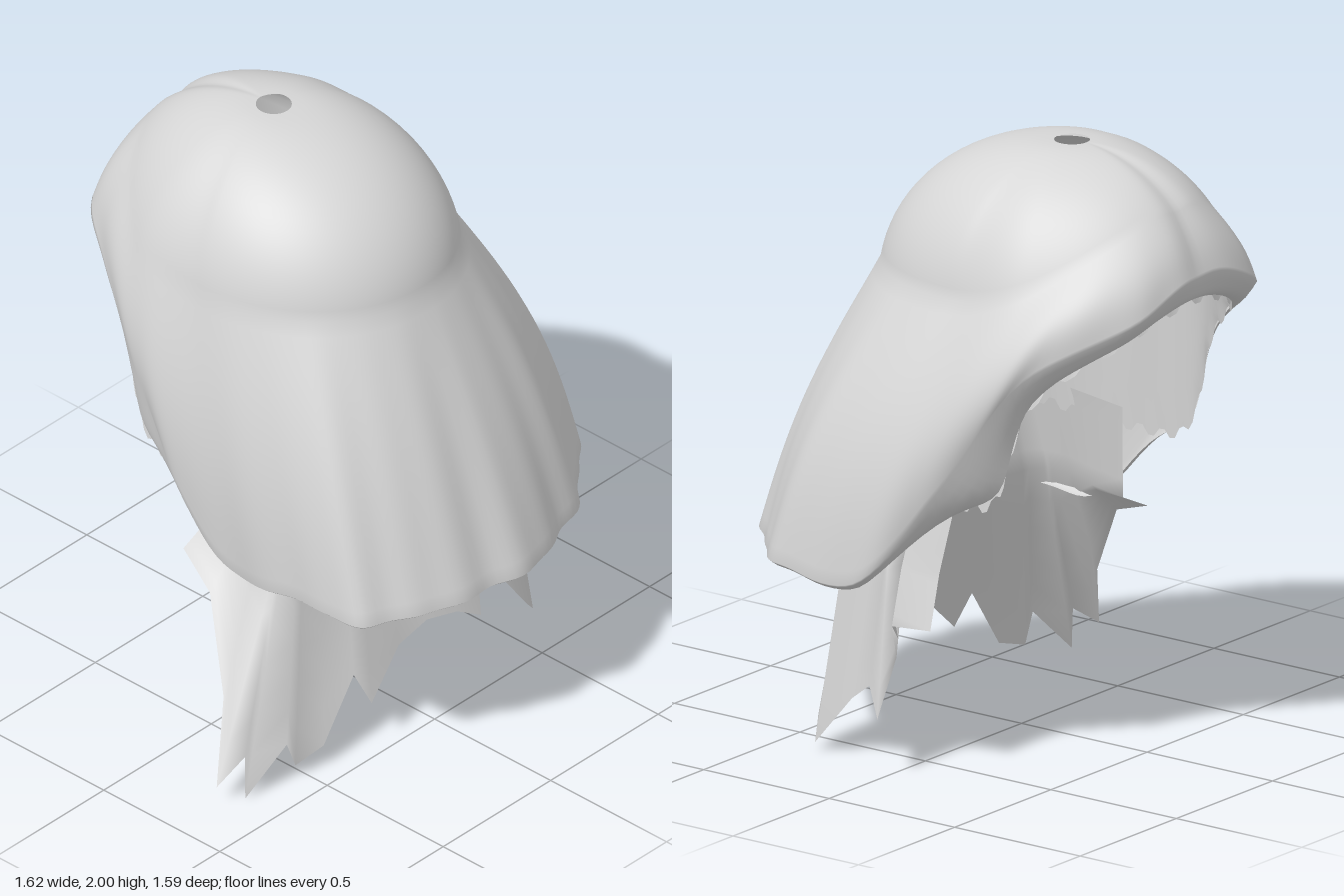
import * as THREE from 'three';

const cloth = new THREE.MeshStandardMaterial({ color: 0xd6d6d6, side: THREE.DoubleSide });
cloth.name = 'pale grey cloth';

// Surface from rows of points; closed joins the last column to the first
function loft(name, rows, closed) {
  const n = rows[0].length, pos = [], index = [];
  rows.forEach(r => r.forEach(p => pos.push(p.x, p.y, p.z)));
  for (let j = 0; j < rows.length - 1; j++) {
    for (let i = 0; i < (closed ? n : n - 1); i++) {
      const k = (i + 1) % n, a = j * n + i, b = j * n + k, c = a + n, d = b + n;
      index.push(a, c, b, b, c, d);
    }
  }
  const g = new THREE.BufferGeometry();
  g.setAttribute('position', new THREE.Float32BufferAttribute(pos, 3));
  g.setIndex(index);
  g.computeVertexNormals();
  const mesh = new THREE.Mesh(g, cloth);
  mesh.name = name;
  return mesh;
}

const V = (x, y, z) => new THREE.Vector3(x, y, z);
const COLS = 160, TAU = Math.PI * 2;
const ring = pts => new THREE.CatmullRomCurve3(pts.map(p => V(...p)), true);

// Outer edge of the hood: along the front hem, then up and over the rear opening
const hem = ring([
  [.05, .66, .80], [.35, .65, .73], [.60, .65, .57], [.77, .65, .38],
  [.80, .65, .06], [.71, .97, -.20], [.60, 1.36, -.46], [.35, 1.55, -.74],
  [.07, 1.66, -.77], [-.25, 1.55, -.74], [-.44, 1.36, -.46], [-.51, .97, -.20],
  [-.51, .65, .06], [-.50, .65, .36], [-.46, .65, .62], [-.24, .66, .74],
]);

// Edge of the inner bowl: neck line in front, opening behind; mirrored about x = .05
const half = [
  [0, 1.0, .37], [.19, 1.0, .33], [.34, .98, .22], [.44, .93, .08], [.49, .90, -.10],
  [.50, .92, -.30], [.47, 1.27, -.44], [.28, 1.47, -.66], [0, 1.56, -.73],
];
const bowlEdge = ring([
  ...half.map(([x, y, z]) => [.05 + x, y, z]),
  ...half.slice(1, 8).reverse().map(([x, y, z]) => [.05 - x, y, z]),
]);

// Everything the hood needs to know about one direction around the crown
function meridian(i) {
  const phi = i / COLS * TAU, s = Math.sin(phi), c = Math.cos(phi);
  const back = THREE.MathUtils.smoothstep(-c, 0, .5);
  const rear = Math.max(0, -c), full = 1 + .1 * back * Math.abs(s);
  return {
    s, c, back,
    hole: V(.05 + .057 * s, 1.995, -.24 + .057 * c),
    shoulder: V(.05 + .48 * s * full, 1.56 + .3 * rear * rear, -.12 + .53 * c * full),
    sweep: THREE.MathUtils.degToRad(82 - 32 * rear),
    end: hem.getPoint(i / COLS),
    inner: bowlEdge.getPoint(i / COLS),
    groove: Math.exp(-(((phi - Math.PI) / .1) ** 2)),
    fold: .011 * (.3 + .7 * Math.max(0, c)) * (Math.sin(phi * 13) + .6 * Math.sin(phi * 23 + 1)),
  };
}

function crownPoint(m, t) {
  const a = t * m.sweep, cosA = Math.cos(m.sweep);
  const out = Math.sin(a) / Math.sin(m.sweep), up = (Math.cos(a) - cosA) / (1 - cosA);
  const p = m.hole.clone().lerp(m.shoulder, out);
  p.y = m.shoulder.y + (m.hole.y - m.shoulder.y) * up - .018 * m.groove * t;
  return p;
}

function skirtPoint(m, t) {
  const p = m.shoulder.clone().lerp(m.end, t);
  const bulge = (.01 + .06 * Math.abs(m.s) * (m.s > 0 ? 1 : .6)) * Math.sin(Math.PI * t);
  p.x += m.s * (bulge + m.fold * t);
  p.z += m.c * (bulge + m.fold * t);
  p.y -= .018 * m.groove;
  return p;
}

// Hem turns slightly inward; around the opening it rolls over to the bowl edge
function lipPoint(m, t) {
  const p = skirtPoint(m, 1);
  const tuck = p.clone().add(V(-.035 * m.s * t, -.02 * Math.sin(t * Math.PI / 2), -.035 * m.c * t));
  const roll = p.lerp(m.inner, t);
  roll.y -= .02 * Math.sin(t * Math.PI);
  return tuck.lerp(roll, m.back);
}

function hood(ms) {
  const rows = [];
  for (let j = 0; j <= 20; j++) rows.push(ms.map(m => crownPoint(m, j / 20)));
  for (let j = 1; j <= 20; j++) rows.push(ms.map(m => skirtPoint(m, j / 20)));
  for (let j = 1; j <= 5; j++) rows.push(ms.map(m => lipPoint(m, j / 5)));
  return loft('hood', rows, true);
}

// Smooth bowl just under the crown, with a stepped, ragged edge
function innerBowl(ms) {
  const centre = V(.05, 1.5, -.15);
  const inside = (m, t) => crownPoint(m, t).sub(centre).multiplyScalar(.96).add(centre);
  const rows = [];
  for (let j = 1; j <= 14; j++) rows.push(ms.map(m => inside(m, j / 14)));
  for (let j = 1; j <= 10; j++) {
    rows.push(ms.map((m, i) => {
      const p = inside(m, 1).lerp(m.inner, j / 10);
      if (j === 10) p.y += i % 4 < 2 ? -.018 : .01;
      return p;
    }));
  }
  return loft('innerBowl', rows, true);
}

// Lower cloth hangs from the neck line and ends in torn points
function tatteredCloth() {
  const tips = [
    [.67, .50, -.15], [.70, .50, -.02], [.65, .38, 0], [.75, .20, 0], [.66, .27, .10],
    [.62, .20, .20], [.63, .03, .34], [.56, .10, .38], [.40, .31, .40], [.31, .35, .40],
    [.28, .23, .44], [.18, .29, .43], [.05, .32, .42], [-.08, .29, .42], [-.25, .17, .46],
    [-.29, .28, .42], [-.43, .08, .42], [-.54, .05, .40], [-.58, .15, .40], [-.73, 0, .36],
    [-.71, .14, .34], [-.82, .07, .32], [-.68, .30, .22], [-.56, .56, .05], [-.50, .62, -.12],
  ].map(p => V(...p));
  const waist = tips.map(p => V(Math.max(p.x * (p.x > 0 ? .93 : .74), -.47), .68, p.z > 0 ? p.z * .75 : p.z));
  const top = waist.map(p => V(p.x * .88 + .01, 1.0, p.z > .1 ? p.z + .03 : p.z - .04));
  const rows = [];
  for (let j = 0; j <= 5; j++) rows.push(top.map((p, i) => p.clone().lerp(waist[i], j / 5)));
  for (let j = 1; j <= 5; j++) rows.push(waist.map((p, i) => p.clone().lerp(tips[i], j / 5)));
  return loft('tatteredCloth', rows, false);
}

export function createModel() {
  const model = new THREE.Group();
  model.name = 'tatteredHood';
  const ms = Array.from({ length: COLS }, (_, i) => meridian(i));
  model.add(hood(ms), innerBowl(ms), tatteredCloth());
  return model;
}
